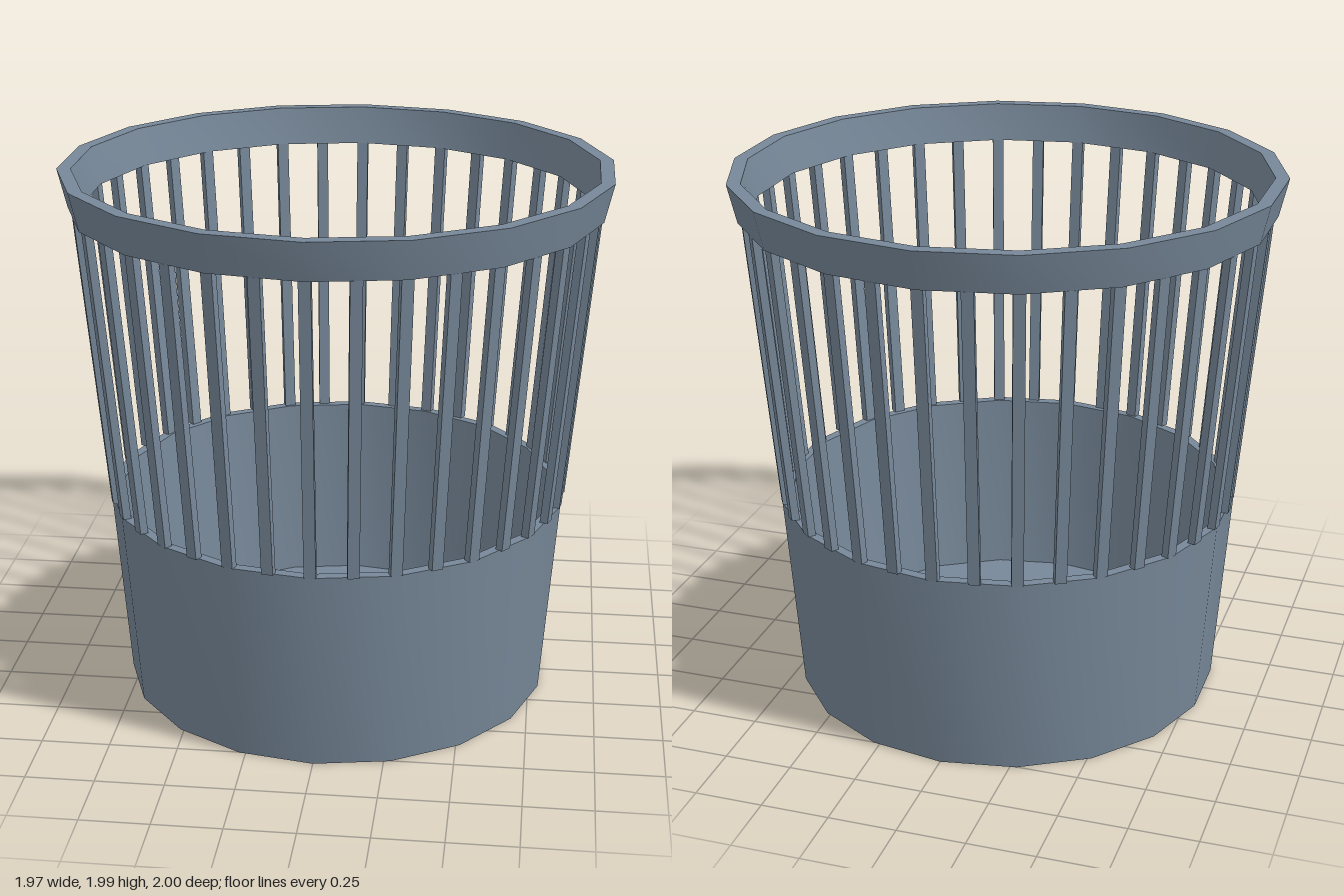
import * as THREE from 'three';
import { toCreasedNormals } from 'three/addons/utils/BufferGeometryUtils.js';

const SIDES = 18;
const SLATS = 36;
const WALL_TOP = 0.76;
const RIM_BOTTOM = 1.85;

// Closed ring turned from a cross-section: smooth around, sharp at its corners
function ring(profile) {
  const points = [...profile, profile[0]].map(([r, y]) => new THREE.Vector2(r, y));
  return toCreasedNormals(new THREE.LatheGeometry(points, SIDES), 0.7);
}

// Upright bar that leans outward between the wall and the rim
function slatGeometry() {
  const height = RIM_BOTTOM - WALL_TOP;
  const geometry = new THREE.BoxGeometry(0.042, height, 0.03);
  const pos = geometry.attributes.position;
  for (let i = 0; i < pos.count; i++) {
    const t = pos.getY(i) / height + 0.5;
    pos.setZ(i, pos.getZ(i) + THREE.MathUtils.lerp(0.843, 0.938, t));
    pos.setY(i, WALL_TOP + t * height);
  }
  geometry.computeVertexNormals();
  return geometry;
}

export function createModel() {
  const basket = new THREE.Group();
  basket.name = 'wasteBasket';
  const material = new THREE.MeshStandardMaterial({ color: 0x778899 });

  const add = (name, geometry, parent = basket) => {
    const mesh = new THREE.Mesh(geometry, material);
    mesh.name = name;
    parent.add(mesh);
    return mesh;
  };

  // Solid lower wall
  add('lowerWall', ring([[0.765, 0], [0.8, 0], [0.857, WALL_TOP], [0.82, WALL_TOP]]));

  // Floor, slightly raised above the foot of the wall
  add('floor', new THREE.CylinderGeometry(0.768, 0.767, 0.02, SIDES)).position.y = 0.03;

  // Flared top rim
  add('rim', ring([[0.92, RIM_BOTTOM], [0.967, RIM_BOTTOM], [1, 1.99], [0.95, 1.99]]));

  // Ring of slats
  const slats = new THREE.Group();
  slats.name = 'slats';
  basket.add(slats);
  const slat = slatGeometry();
  for (let i = 0; i < SLATS; i++) {
    add('slat', slat, slats).rotation.y = (i / SLATS) * Math.PI * 2;
  }

  return basket;
}
